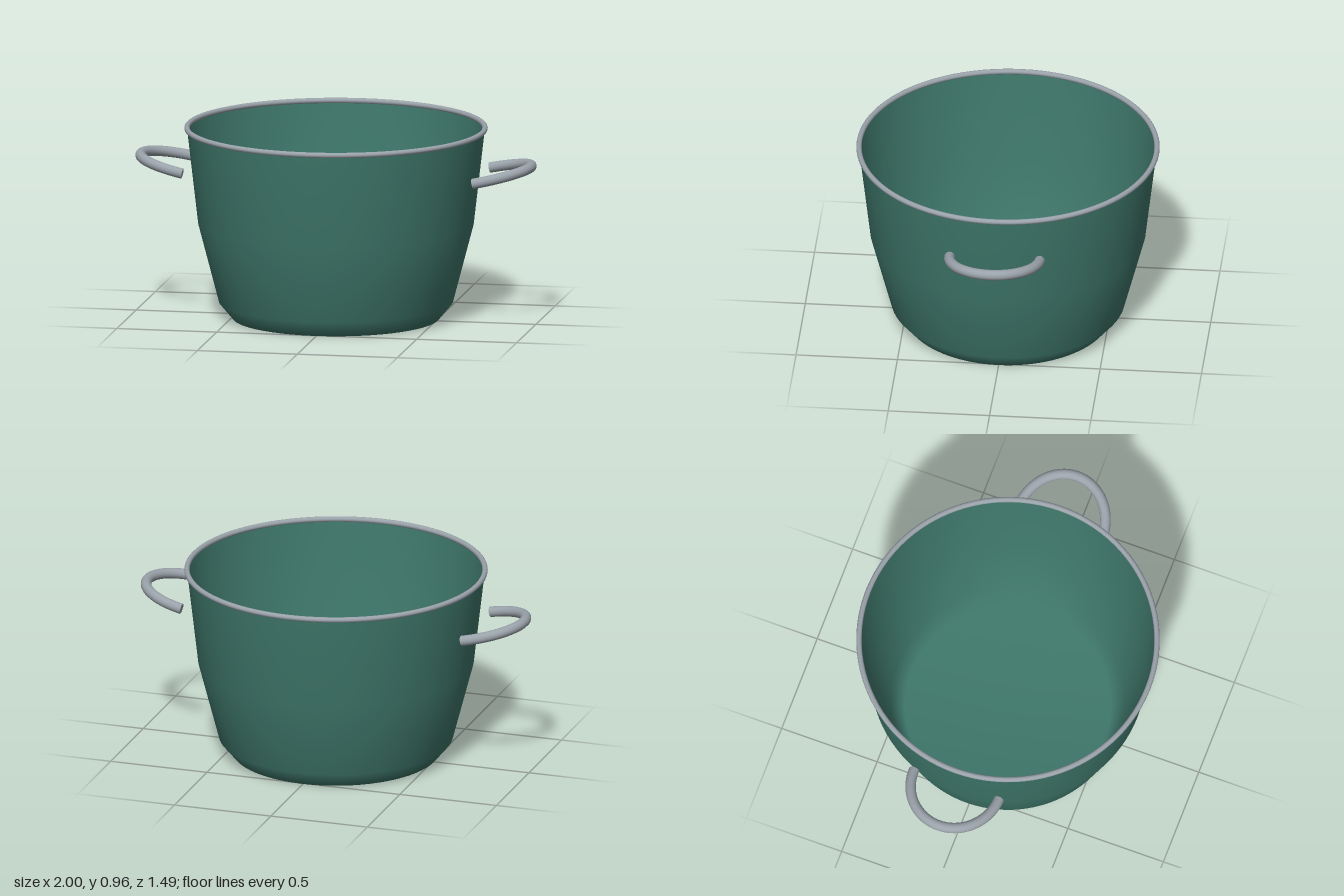
import * as THREE from 'three';

const enamel = new THREE.MeshStandardMaterial({ color: 0x3f786b, side: THREE.DoubleSide });
enamel.name = 'green enamel';
const steel = new THREE.MeshStandardMaterial({ color: 0x9aa2aa });
steel.name = 'steel';

function addMesh(parent, name, geometry, material) {
  const mesh = new THREE.Mesh(geometry, material);
  mesh.name = name;
  parent.add(mesh);
  return mesh;
}

// Half-ellipse loop that rises outwards from the wall
class HandleCurve extends THREE.Curve {
  getPoint(t, target = new THREE.Vector3()) {
    const a = (t - 0.5) * Math.PI;
    const reach = Math.cos(a);
    return target.set(0.726 + 0.248 * reach, 0.733 + 0.052 * reach, -0.222 * Math.sin(a));
  }
}

function createHandle(name) {
  const handle = new THREE.Group();
  handle.name = name;
  const curve = new HandleCurve();
  const radius = 0.026;
  addMesh(handle, 'handleLoop', new THREE.TubeGeometry(curve, 48, radius, 16), steel);
  // Flat ends of the rod
  for (const t of [0, 1]) {
    const cap = addMesh(handle, 'handleEnd', new THREE.CircleGeometry(radius, 16), steel);
    const outward = curve.getTangent(t).multiplyScalar(t === 0 ? -1 : 1);
    cap.position.copy(curve.getPoint(t));
    cap.quaternion.setFromUnitVectors(new THREE.Vector3(0, 0, 1), outward);
  }
  return handle;
}

export function createModel() {
  const pot = new THREE.Group();
  pot.name = 'pot';

  // Thin open bowl with a bevelled foot
  const profile = [[0, 0], [0.508, 0], [0.575, 0.08], [0.677, 0.47], [0.732, 0.946]]
    .map(([r, y]) => new THREE.Vector2(r, y));
  addMesh(pot, 'body', new THREE.LatheGeometry(profile, 96), enamel);

  // Rolled rim
  const rim = addMesh(pot, 'rim', new THREE.TorusGeometry(0.732, 0.0135, 12, 96), steel);
  rim.rotation.x = Math.PI / 2;
  rim.position.y = 0.946;

  // Side handles
  pot.add(createHandle('leftHandle'));
  const right = createHandle('rightHandle');
  right.rotation.y = Math.PI;
  pot.add(right);

  return pot;
}
